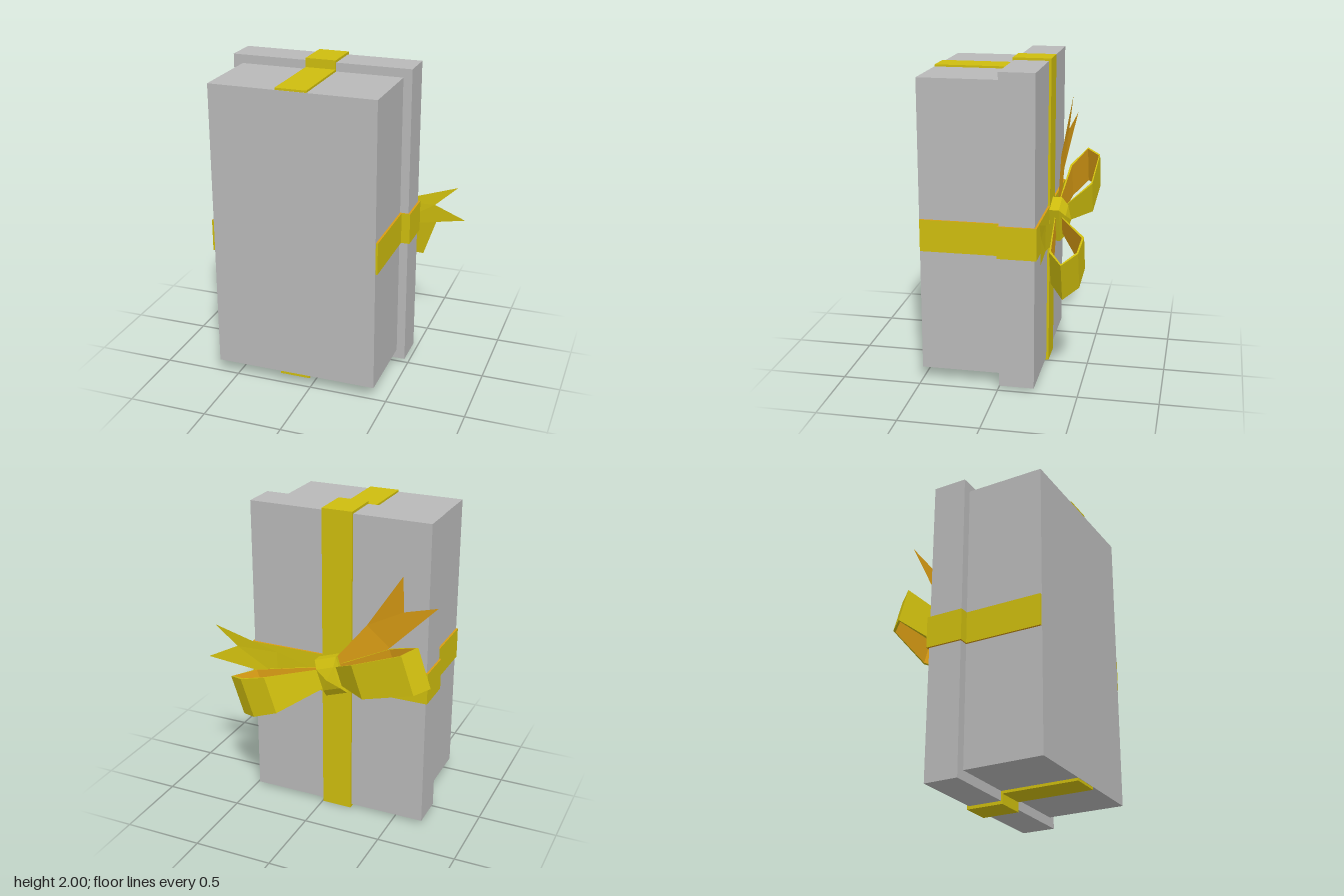
import * as THREE from 'three';

const grey = new THREE.MeshStandardMaterial({ name: 'boxGrey', color: 0xb8b8b8 });
const yellow = new THREE.MeshStandardMaterial({ name: 'ribbonYellow', color: 0xcdbc0e, flatShading: true, side: THREE.DoubleSide });
const gold = new THREE.MeshStandardMaterial({ name: 'ribbonGold', color: 0xd99c14, flatShading: true, side: THREE.DoubleSide });

function add(parent, name, geometry, material) {
  const mesh = new THREE.Mesh(geometry, material);
  mesh.name = name;
  parent.add(mesh);
  return mesh;
}

// Box given by its minimum and maximum corners
function block(parent, name, [x0, y0, z0], [x1, y1, z1], material) {
  const mesh = add(parent, name, new THREE.BoxGeometry(x1 - x0, y1 - y0, z1 - z0), material);
  mesh.position.set((x0 + x1) / 2, (y0 + y1) / 2, (z0 + z1) / 2);
}

// Flat-shaded geometry from a list of [corner loop, material index]
function facets(faces) {
  const pos = [], geo = new THREE.BufferGeometry();
  faces.forEach(([loop, mat]) => {
    const start = pos.length / 3;
    for (let i = 1; i < loop.length - 1; i++) pos.push(...loop[0], ...loop[i], ...loop[i + 1]);
    geo.addGroup(start, pos.length / 3 - start, mat);
  });
  geo.setAttribute('position', new THREE.Float32BufferAttribute(pos, 3));
  geo.computeVertexNormals();
  return geo;
}

// Bow loop: a band swept along [distance, z, half width], yellow outside and gold inside
function bowLoop(path, side) {
  const cx = 0.4, cz = -0.39, t = 0.016;
  const rings = path.map(([u, z, w]) => {
    const d = Math.hypot(cx - u, cz - z);
    const ui = u + (cx - u) / d * t, zi = z + (cz - z) / d * t;
    return [[u, -w, z], [u, w, z], [ui, w, zi], [ui, -w, zi]].map(([x, y, q]) => [x * side, y, q]);
  });
  const faces = [];
  for (let i = 0; i < rings.length - 1; i++) {
    for (let k = 0; k < 4; k++) {
      const n = (k + 1) % 4;
      const loop = [rings[i][k], rings[i][n], rings[i + 1][n], rings[i + 1][k]];
      faces.push([side > 0 ? loop : loop.reverse(), k === 2 ? 1 : 0]);
    }
  }
  return facets(faces);
}

// Swallow-tailed ribbon end: pairs of edge points, then a notch between the last pair
function ribbonTail(pairs, notch) {
  const faces = [];
  for (let i = 0; i < pairs.length - 2; i++) {
    faces.push([[pairs[i][0], pairs[i][1], pairs[i + 1][1], pairs[i + 1][0]], 0]);
  }
  const [a, b] = pairs[pairs.length - 2], [tipA, tipB] = pairs[pairs.length - 1];
  faces.push([[a, b, notch], 0], [[a, notch, tipA], 0], [[b, tipB, notch], 0]);
  return facets(faces);
}

export function createModel() {
  const root = new THREE.Group();
  root.name = 'giftBox';

  // Box and overhanging lid
  block(root, 'boxBody', [-0.625, 0.08, -0.01], [0.42, 1.93, 0.5], grey);
  block(root, 'boxLid', [-0.685, 0.02, -0.225], [0.475, 1.985, -0.005], grey);

  // Ribbon bands around body and lid
  const goldEdges = [yellow, yellow, gold, gold, yellow, yellow];
  block(root, 'lengthwiseRibbonBody', [-0.2, 0.063, 0], [-0.005, 1.943, 0.498], yellow);
  block(root, 'lengthwiseRibbonLid', [-0.2, 0, -0.24], [-0.005, 2, 0.003], yellow);
  block(root, 'crosswiseRibbonBody', [-0.638, 0.86, 0], [0.433, 1.062, 0.497], goldEdges);
  block(root, 'crosswiseRibbonLid', [-0.697, 0.86, -0.238], [0.488, 1.062, 0.003], goldEdges);

  // Tilted bow on the lid
  const bow = new THREE.Group();
  bow.name = 'bow';
  bow.position.set(-0.09, 0.955, 0);
  bow.rotation.z = -0.33;
  root.add(bow);
  add(bow, 'rightLoop', bowLoop([[0.05, -0.31, 0.06], [0.26, -0.472, 0.11], [0.6, -0.485, 0.125],
    [0.675, -0.395, 0.13], [0.46, -0.3, 0.12], [0.05, -0.27, 0.06]], -1), [yellow, gold]);
  add(bow, 'leftLoop', bowLoop([[0.05, -0.31, 0.06], [0.34, -0.495, 0.12], [0.52, -0.482, 0.13],
    [0.645, -0.395, 0.13], [0.51, -0.305, 0.12], [0.05, -0.27, 0.06]], 1), [yellow, gold]);

  // Knot: bevelled block with a raised ridge
  const ring = (w, h, z) => [[-w, -h, z], [-w, h, z], [w, h, z], [w, -h, z]];
  const base = ring(0.075, 0.12, -0.238), mid = ring(0.075, 0.12, -0.3), top = ring(0.06, 0.07, -0.34);
  const ridge = [0, 0, -0.365], knotFaces = [];
  for (let k = 0; k < 4; k++) {
    const n = (k + 1) % 4;
    knotFaces.push([[base[k], base[n], mid[n], mid[k]], 0], [[mid[k], mid[n], top[n], top[k]], 0], [[top[k], top[n], ridge], 0]);
  }
  add(bow, 'knot', facets(knotFaces), [yellow]);

  // Ribbon tails with notched ends
  add(root, 'leftTail', ribbonTail([
    [[-0.05, 0.83, -0.28], [-0.05, 0.95, -0.28]],
    [[0.3, 0.865, -0.263], [0.3, 1.03, -0.263]],
    [[0.77, 0.935, -0.31], [0.72, 1.16, -0.295]]], [0.575, 1.03, -0.28]), [yellow]);
  add(root, 'rightTail', ribbonTail([
    [[-0.16, 0.92, -0.28], [-0.06, 1.01, -0.28]],
    [[-0.46, 1.2, -0.263], [-0.31, 1.32, -0.263]],
    [[-0.77, 1.52, -0.31], [-0.55, 1.68, -0.305]]], [-0.55, 1.45, -0.28]), [gold]);

  return root;
}
